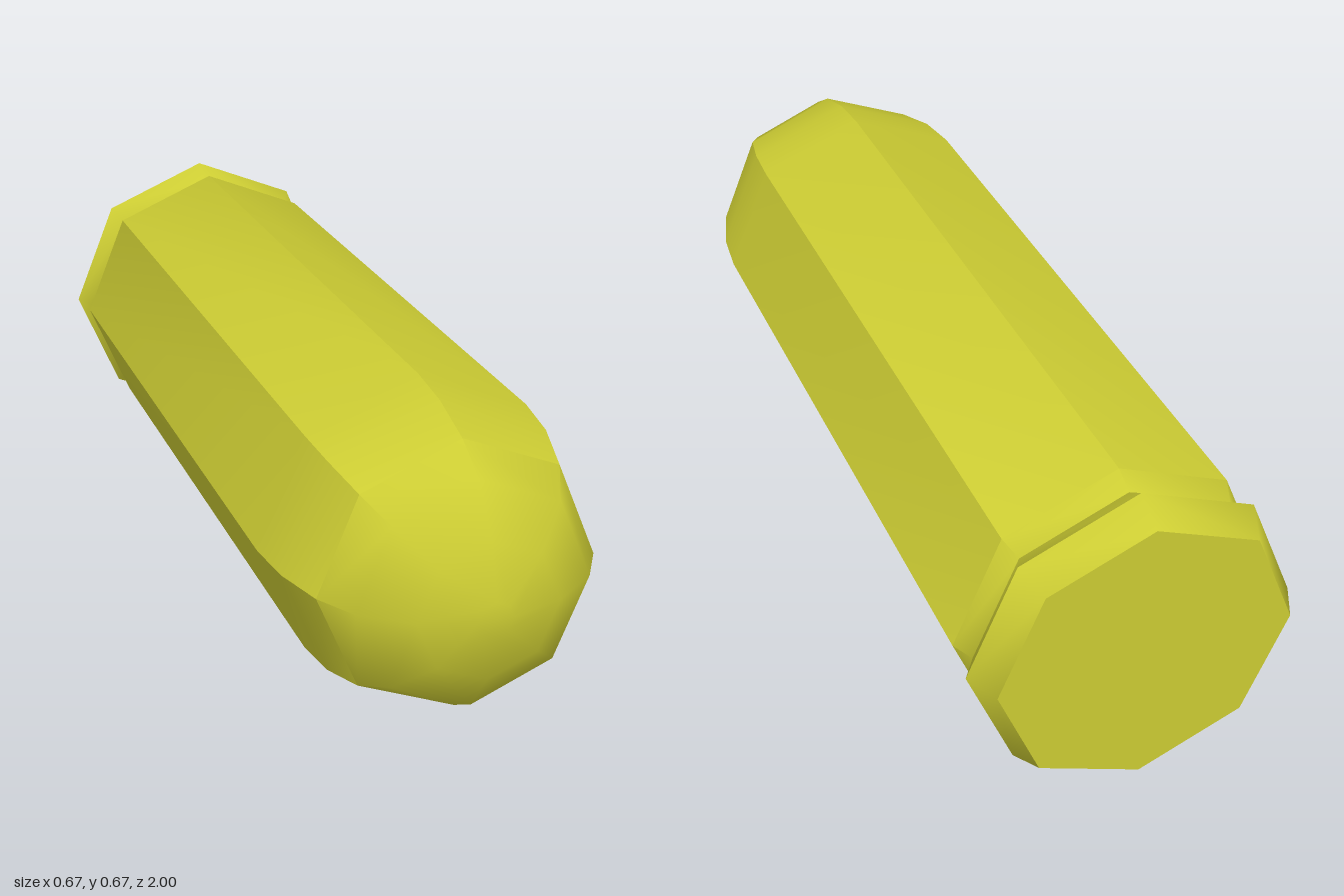
import * as THREE from 'three';
import { toCreasedNormals } from 'three/addons/utils/BufferGeometryUtils.js';

const SIDES = 8;
const CREASE = THREE.MathUtils.degToRad(42.2);
const AXIS_HEIGHT = 0.337;

// Octagonal turned part lying along z; profile is [radius, z] from back to front
function turnedPart(name, profile, material) {
  const points = profile.map(([r, z]) => new THREE.Vector2(r, z));
  const geometry = new THREE.LatheGeometry(points, SIDES).rotateX(Math.PI / 2);
  const mesh = new THREE.Mesh(toCreasedNormals(geometry, CREASE), material);
  mesh.name = name;
  mesh.position.y = AXIS_HEIGHT;
  return mesh;
}

export function createModel() {
  const model = new THREE.Group();
  model.name = 'bullet';
  const brass = new THREE.MeshStandardMaterial({ color: 0xcccc33 });

  // Flat base with a flared rim, ending in the groove
  model.add(turnedPart('rim', [
    [0, -1], [0.303, -1], [0.337, -0.93], [0.305, -0.885],
  ], brass));

  // Straight body with a rounded nose
  model.add(turnedPart('body', [
    [0.305, -0.885], [0.327, -0.84], [0.327, 0.6], [0.315, 0.71], [0.283, 0.82],
    [0.235, 0.9], [0.142, 0.968], [0.035, 0.999], [0, 1],
  ], brass));

  return model;
}
